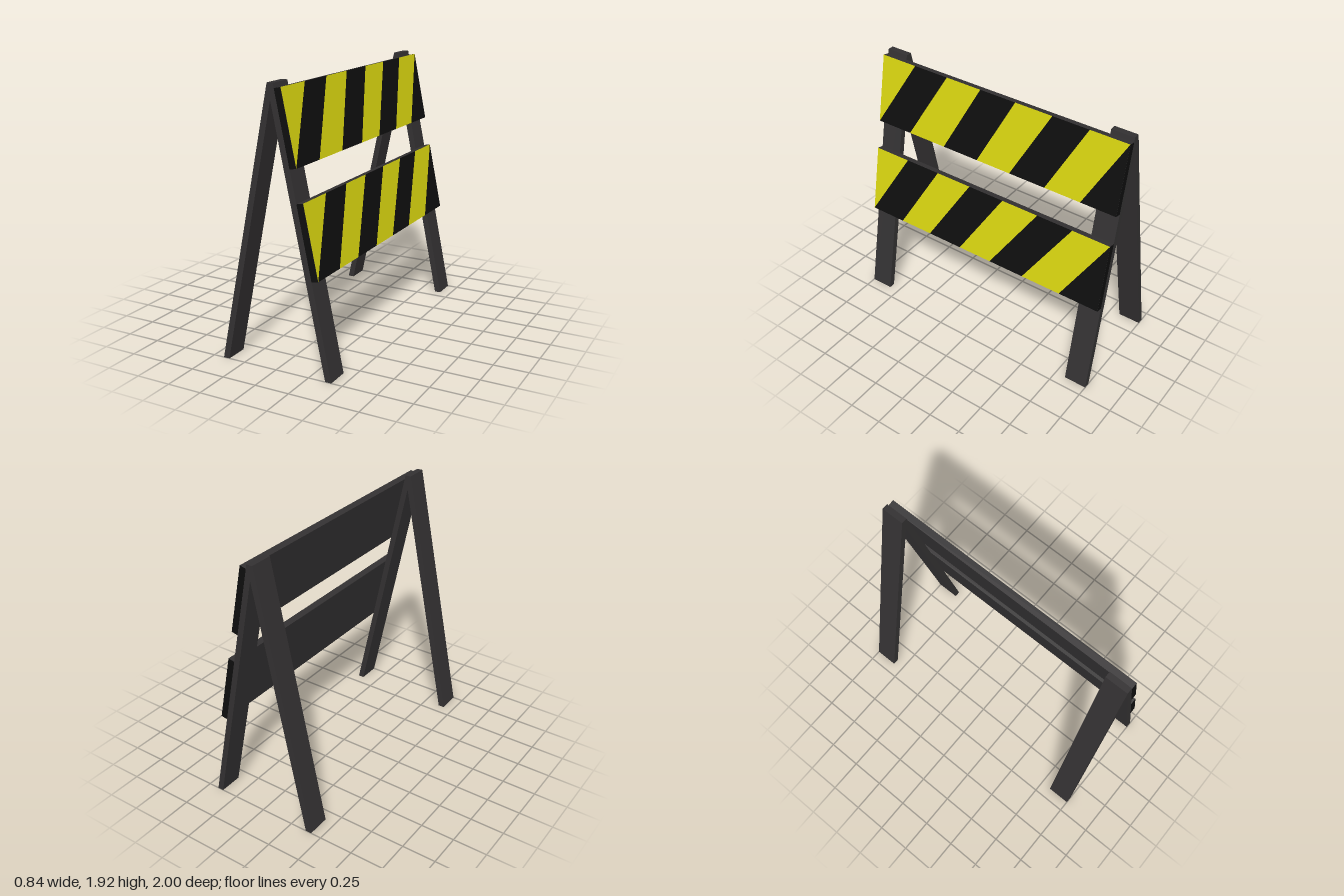
import * as THREE from 'three';

const grey = new THREE.MeshStandardMaterial({ color: 0x333132 });
const black = new THREE.MeshStandardMaterial({ color: 0x0e0e0e });
const yellow = new THREE.MeshStandardMaterial({ color: 0xd6d20f });

// Slope of the legs and boards: along the board (up) and out of its face
const up = new THREE.Vector3(-0.203, 0.979, 0).normalize();
const out = new THREE.Vector3(up.y, -up.x, 0);
const BOARD_HEIGHT = 0.511;
const BOARD_DEPTH = 0.049;

const polygon = (points) => new THREE.Shape(points.map(([x, y]) => new THREE.Vector2(x, y)));

function extrude(points, depth, z, material, name) {
  const geometry = new THREE.ExtrudeGeometry(polygon(points), { depth, bevelEnabled: false });
  geometry.translate(0, 0, z);
  const mesh = new THREE.Mesh(geometry, material);
  mesh.name = name;
  return mesh;
}

// Slanted plank with alternating diagonal stripes on its outer face
function createBoard(name, x, y, bottomEdges) {
  const board = new THREE.Group();
  board.name = name;
  const inner = new THREE.Vector3(x, y, 0);
  const outer = inner.clone().addScaledVector(out, BOARD_DEPTH);
  const rise = up.clone().multiplyScalar(BOARD_HEIGHT);
  const corners = [inner, outer, outer.clone().add(rise), inner.clone().add(rise)];
  board.add(extrude(corners.map((p) => [p.x, p.y]), 2, -1, [black, grey], 'plank'));

  const topEdges = [-1, -0.71, -0.43, -0.145, 0.14, 0.43, 0.71, 1, 1];
  const frame = new THREE.Matrix4()
    .makeBasis(new THREE.Vector3(0, 0, -1), up, out)
    .setPosition(outer.clone().addScaledVector(out, 0.0015));
  for (let i = 0; i < topEdges.length - 1; i++) {
    const corners = [[bottomEdges[i], 0]];
    if (bottomEdges[i + 1] !== bottomEdges[i]) corners.push([bottomEdges[i + 1], 0]);
    corners.push([topEdges[i + 1], BOARD_HEIGHT]);
    if (topEdges[i + 1] !== topEdges[i]) corners.push([topEdges[i], BOARD_HEIGHT]);
    const geometry = new THREE.ShapeGeometry(polygon(corners)).applyMatrix4(frame);
    const stripe = new THREE.Mesh(geometry, i % 2 ? black : yellow);
    stripe.name = i % 2 ? 'blackStripe' : 'yellowStripe';
    board.add(stripe);
  }
  return board;
}

export function createModel() {
  const model = new THREE.Group();
  model.name = 'barricade';

  // A-shaped leg pair at each end
  const legs = [
    [0.42, 0], [0.022, 1.917], [-0.022, 1.917], [-0.42, 0],
    [-0.375, 0], [0, 1.81], [0.375, 0],
  ];
  model.add(extrude(legs, 0.17, 0.83, grey, 'frontLegs'));
  model.add(extrude(legs, 0.17, -1, grey, 'backLegs'));

  // Two striped boards on the +x legs
  model.add(createBoard('upperBoard', 0.132, 1.385, [-1, -1, -0.71, -0.4, -0.11, 0.165, 0.45, 0.73, 1]));
  model.add(createBoard('lowerBoard', 0.281, 0.668, [-1, -1, -0.715, -0.45, -0.17, 0.1, 0.38, 0.69, 1]));
  return model;
}
